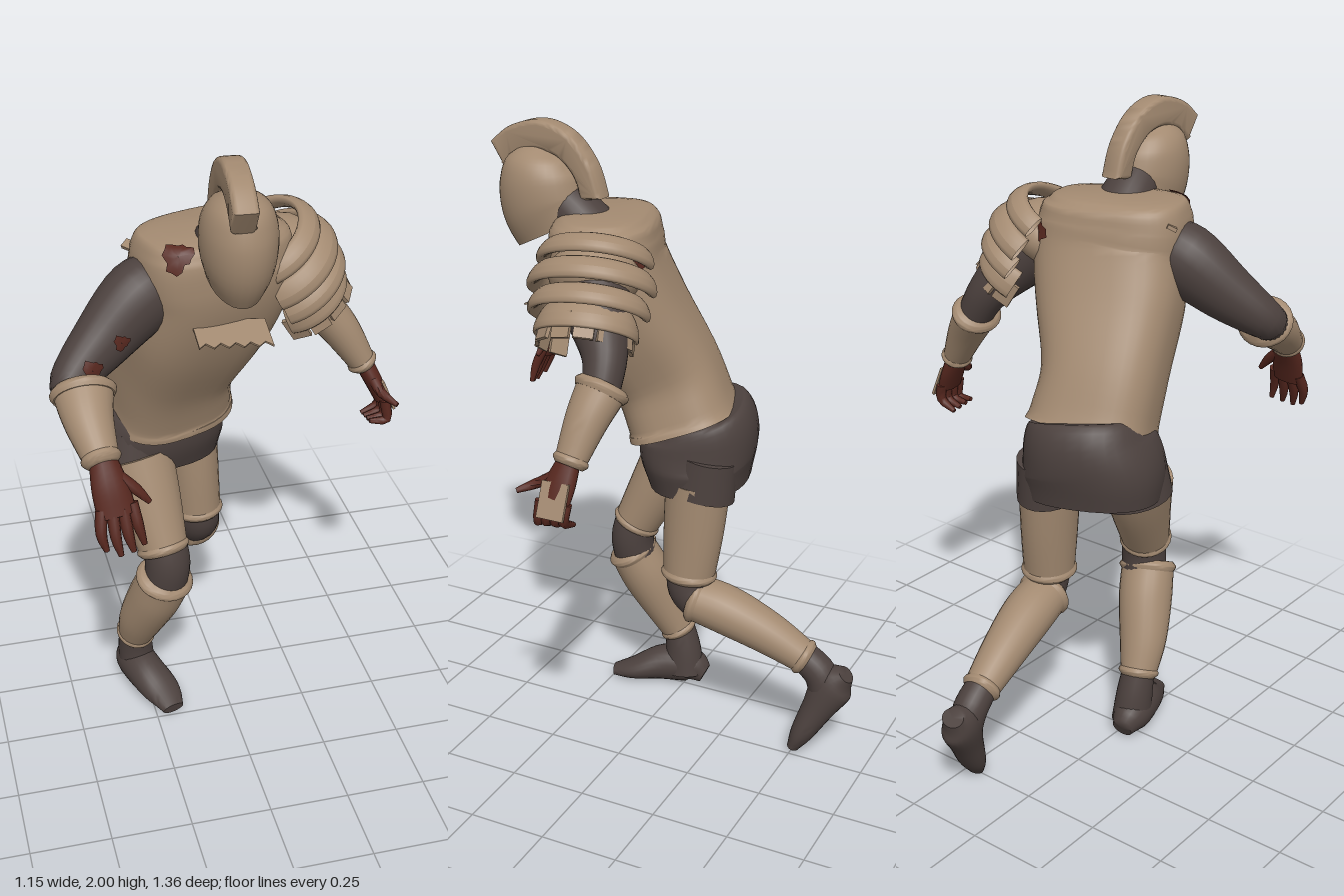
import * as THREE from 'three';
import { toCreasedNormals } from 'three/addons/utils/BufferGeometryUtils.js';

const V = (x, y, z) => new THREE.Vector3(x, y, z);

// Smooth elliptical loft through rows of [x, y, z, radiusU, radiusV]; ref gives the U direction.
function loft(rows, { ref = V(1, 0, 0), seg = 24, sub = 5, pow = 1 } = {}) {
  const path = new THREE.CatmullRomCurve3(rows.map(r => V(r[0], r[1], r[2])), false, 'catmullrom', 0.5);
  const radii = new THREE.CatmullRomCurve3(rows.map(r => V(r[3], r[4] ?? r[3], 0)), false, 'catmullrom', 0.5);
  const n = (rows.length - 1) * sub, pos = [], idx = [];
  const sq = a => Math.sign(a) * Math.abs(a) ** pow;
  for (let i = 0; i <= n; i++) {
    const c = path.getPoint(i / n), r = radii.getPoint(i / n), t = path.getTangent(i / n);
    const u = ref.clone().addScaledVector(t, -ref.dot(t)).normalize();
    const v = u.clone().cross(t);
    for (let j = 0; j < seg; j++) {
      const a = j / seg * Math.PI * 2;
      const p = c.clone().addScaledVector(u, r.x * sq(Math.cos(a))).addScaledVector(v, r.y * sq(Math.sin(a)));
      pos.push(p.x, p.y, p.z);
    }
  }
  for (let i = 0; i < n; i++) for (let j = 0; j < seg; j++) {
    const k = (j + 1) % seg, a = i * seg + j, b = i * seg + k;
    idx.push(a, a + seg, b, b, a + seg, b + seg);
  }
  // end caps
  const first = rows[0], last = rows[rows.length - 1], m = (n + 1) * seg;
  pos.push(first[0], first[1], first[2], last[0], last[1], last[2]);
  for (let j = 0; j < seg; j++) {
    const k = (j + 1) % seg;
    idx.push(m, j, k, m + 1, n * seg + k, n * seg + j);
  }
  const g = new THREE.BufferGeometry();
  g.setAttribute('position', new THREE.Float32BufferAttribute(pos, 3));
  g.setIndex(idx);
  return toCreasedNormals(g, 1);
}

export function createModel() {
  const model = new THREE.Group();
  const mat = (name, color, extra = {}) => Object.assign(new THREE.MeshStandardMaterial({ color, ...extra }), { name });
  const armor = mat('tan armor', 0xa38a71, { side: THREE.DoubleSide });
  const cloth = mat('dark cloth', 0x4c413e);
  const skin = mat('dark red skin', 0x58281f, { side: THREE.DoubleSide });
  const add = (name, geo, material, parent = model) => {
    const m = new THREE.Mesh(geo, material);
    m.name = name;
    parent.add(m);
    return m;
  };

  // Limb armour with a raised rim at the far end, and at the near end unless it is tucked in
  function guard(name, rows, { tucked = false, ...opt } = {}) {
    add(name, loft(rows, opt), armor);
    const ends = [[rows[rows.length - 1], rows[rows.length - 2]]];
    if (!tucked) ends.push([rows[0], rows[1]]);
    for (const [e, inner] of ends) {
      const c = V(e[0], e[1], e[2]), d = V(inner[0], inner[1], inner[2]).sub(c).normalize();
      const ring = (s, grow) => [...c.clone().addScaledVector(d, s).toArray(), e[3] + grow, (e[4] ?? e[3]) + grow];
      add(name + 'Rim', loft([ring(-0.008, -0.004), ring(0.008, 0.008), ring(0.026, 0)], opt), armor);
    }
  }

  // Torso and shorts, leaning forward and slightly turned
  const torso = add('cuirass', loft([
    [-0.14, 1.05, -0.05, 0.203, 0.18], [-0.14, 1.09, -0.035, 0.193, 0.172], [-0.135, 1.22, 0.02, 0.19, 0.17],
    [-0.085, 1.4, 0.11, 0.226, 0.174], [-0.045, 1.55, 0.165, 0.238, 0.172],
    [-0.048, 1.64, 0.182, 0.238, 0.168], [-0.05, 1.7, 0.184, 0.226, 0.158],
    [-0.05, 1.728, 0.184, 0.2, 0.13], [-0.05, 1.738, 0.184, 0.15, 0.09],
  ], { ref: V(1, 0, -0.28).normalize(), seg: 40, pow: 0.72 }), armor);
  add('shorts', loft([
    [-0.178, 0.865, -0.09, 0.215, 0.165], [-0.172, 0.96, -0.085, 0.222, 0.188],
    [-0.155, 1.05, -0.09, 0.194, 0.188], [-0.145, 1.1, -0.08, 0.17, 0.155],
  ], { ref: V(1, 0, -0.28).normalize(), seg: 32, pow: 0.84 }), cloth);
  add('rightShortsLeg', loft([[-0.25, 0.98, -0.02, 0.12, 0.12], [-0.265, 0.85, 0, 0.125, 0.125]]), cloth);
  add('leftShortsLeg', loft([[-0.06, 0.98, -0.165, 0.098, 0.1], [-0.05, 0.85, -0.145, 0.096, 0.115]]), cloth);

  // Head
  add('neck', loft([[-0.035, 1.66, 0.22, 0.1, 0.09], [-0.03, 1.72, 0.28, 0.085, 0.08], [-0.025, 1.77, 0.36, 0.07, 0.08]]), cloth);
  add('helmet', loft([
    [-0.025, 1.66, 0.352, 0.082, 0.138], [-0.025, 1.74, 0.391, 0.106, 0.142], [-0.025, 1.83, 0.402, 0.104, 0.13],
    [-0.025, 1.89, 0.4, 0.074, 0.092], [-0.025, 1.925, 0.395, 0.006, 0.006],
  ], { seg: 32 }), armor);
  const outer = [[0.575, 1.92], [0.5, 1.975], [0.39, 2], [0.285, 1.965], [0.21, 1.88], [0.175, 1.78]];
  const inner = [[0.245, 1.77], [0.27, 1.84], [0.33, 1.895], [0.41, 1.91], [0.48, 1.885], [0.525, 1.845]];
  const crest = new THREE.Shape();
  const vec2 = list => list.map(p => new THREE.Vector2(p[0] - 0.37, p[1]));
  crest.moveTo(outer[0][0] - 0.37, outer[0][1]);
  crest.splineThru(vec2(outer.slice(1)));
  crest.lineTo(inner[0][0] - 0.37, inner[0][1]);
  crest.splineThru(vec2(inner.slice(1)));
  const crestGeo = new THREE.ExtrudeGeometry(crest, { depth: 0.044, bevelSize: 0.014, bevelThickness: 0.014, bevelOffset: -0.014, bevelSegments: 3, curveSegments: 6 });
  crestGeo.translate(0, 0, -0.022).rotateY(-Math.PI / 2).rotateY(-0.06).translate(-0.036, 0, 0.37);
  add('crest', toCreasedNormals(crestGeo, 0.8), armor);

  // Right leg, planted
  guard('rightThighGuard', [[-0.255, 0.9, 0.035, 0.116, 0.1], [-0.23, 0.78, 0.085, 0.102, 0.095], [-0.2, 0.615, 0.165, 0.078, 0.075]], { tucked: true });
  add('rightKnee', loft([[-0.2, 0.66, 0.15, 0.07], [-0.19, 0.57, 0.17, 0.073], [-0.2, 0.47, 0.16, 0.07]]), cloth);
  guard('rightGreave', [[-0.2, 0.52, 0.18, 0.088, 0.078], [-0.225, 0.42, 0.135, 0.088, 0.086], [-0.258, 0.3, 0.08, 0.078, 0.074], [-0.277, 0.195, 0.03, 0.058, 0.058]]);
  add('rightAnkle', loft([[-0.277, 0.22, 0.035, 0.052], [-0.275, 0.13, 0.015, 0.058, 0.062], [-0.27, 0.04, 0.01, 0.062, 0.075]]), cloth);
  add('rightFoot', loft([
    [-0.285, 0.035, -0.065, 0.034, 0.034], [-0.28, 0.062, -0.01, 0.06, 0.062], [-0.255, 0.062, 0.08, 0.064, 0.062],
    [-0.215, 0.038, 0.17, 0.06, 0.038], [-0.195, 0.022, 0.245, 0.036, 0.018],
  ]), cloth);

  // Left leg, trailing
  guard('leftThighGuard', [[-0.045, 0.89, -0.14, 0.09, 0.108], [-0.035, 0.72, -0.13, 0.085, 0.1], [-0.025, 0.56, -0.12, 0.08, 0.085]], { tucked: true });
  add('leftKnee', loft([[-0.025, 0.6, -0.12, 0.07], [-0.018, 0.52, -0.125, 0.07], [-0.025, 0.46, -0.18, 0.068]]), cloth);
  guard('leftGreave', [[-0.025, 0.485, -0.14, 0.082, 0.075], [-0.04, 0.455, -0.25, 0.084, 0.08], [-0.06, 0.395, -0.39, 0.072, 0.07], [-0.076, 0.325, -0.52, 0.056, 0.053]]);
  add('leftAnkle', loft([[-0.075, 0.34, -0.5, 0.05], [-0.078, 0.28, -0.57, 0.054], [-0.073, 0.2, -0.59, 0.05]]), cloth);
  add('leftFoot', loft([
    [-0.085, 0.295, -0.655, 0.038, 0.03], [-0.08, 0.25, -0.615, 0.056, 0.07], [-0.06, 0.16, -0.572, 0.054, 0.053],
    [-0.04, 0.07, -0.53, 0.052, 0.038], [-0.028, 0.015, -0.505, 0.036, 0.02],
  ]), cloth);

  // Arms
  const Z = V(0, 0, 1);
  const rightSleeve = add('rightSleeve', loft([
    [-0.19, 1.585, 0.22, 0.085, 0.09], [-0.27, 1.555, 0.24, 0.1, 0.112], [-0.39, 1.46, 0.292, 0.08, 0.092],
    [-0.495, 1.375, 0.36, 0.06, 0.062], [-0.485, 1.34, 0.42, 0.05, 0.05],
  ], { ref: V(0.3, 0, 1).normalize() }), cloth);
  guard('rightBracer', [[-0.468, 1.36, 0.39, 0.088, 0.075], [-0.468, 1.31, 0.47, 0.072, 0.064], [-0.452, 1.235, 0.575, 0.05, 0.045]]);
  add('leftSleeve', loft([[0.14, 1.6, 0.12, 0.11], [0.24, 1.5, 0.06, 0.095], [0.315, 1.4, 0, 0.068], [0.375, 1.3, -0.015, 0.055]], { ref: Z }), cloth);
  guard('leftBracer', [[0.355, 1.325, -0.015, 0.08, 0.068], [0.42, 1.24, 0.005, 0.066, 0.06], [0.49, 1.125, 0.025, 0.048, 0.042]], { ref: Z });

  // Hands: palm plus tapered fingers given by base, knuckle and tip
  function hand(side, palm, ref, fingers) {
    const g = new THREE.Group();
    g.name = side + 'Hand';
    model.add(g);
    add('palm', loft(palm, { ref, seg: 14 }), skin, g);
    fingers.forEach(([a, b, c]) => add('finger', loft([[...a, 0.018], [...b, 0.016], [...c, 0.008]], { ref, seg: 8, sub: 3 }), skin, g));
  }
  hand('right', [[-0.45, 1.25, 0.555, 0.036, 0.03], [-0.438, 1.17, 0.6, 0.052, 0.027], [-0.425, 1.09, 0.632, 0.056, 0.022]], V(1, 0, 0), [
    [[-0.468, 1.11, 0.625], [-0.475, 1.05, 0.652], [-0.463, 1.0, 0.665]],
    [[-0.438, 1.11, 0.628], [-0.436, 1.04, 0.658], [-0.425, 0.985, 0.675]],
    [[-0.408, 1.11, 0.628], [-0.4, 1.04, 0.655], [-0.388, 0.99, 0.67]],
    [[-0.382, 1.12, 0.62], [-0.37, 1.06, 0.645], [-0.355, 1.0, 0.655]],
    [[-0.41, 1.19, 0.59], [-0.365, 1.15, 0.605], [-0.33, 1.11, 0.615]],
  ]);
  hand('left', [[0.485, 1.14, 0.025, 0.034, 0.03], [0.52, 1.07, 0.04, 0.05, 0.028], [0.547, 1.01, 0.05, 0.05, 0.024]], Z, [
    ...[0.008, 0.037, 0.066, 0.092].map((z, i) => [[0.545, 1.02, z], [0.552, 0.965 - i * 0.004, z + 0.005], [0.495, 0.935 + i * 0.006, z + 0.005]]),
    [[0.51, 1.09, 0.06], [0.525, 1.06, 0.115], [0.56, 1.04, 0.165]],
  ]);
  const plate = add('leftHandPlate', new THREE.BoxGeometry(0.009, 0.11, 0.088), armor);
  plate.position.set(0.56, 1.03, 0.044);
  plate.rotation.z = 0.4;

  // Layered shoulder armour: thick curved bands over a cap, then a skirt of small plates
  const pauldron = new THREE.Group();
  pauldron.name = 'leftPauldron';
  pauldron.position.set(0.145, 1.61, 0.12);
  pauldron.quaternion.setFromUnitVectors(V(0, 1, 0), V(-0.52, 0.83, 0.12).normalize());
  model.add(pauldron);
  const facing = Math.PI / 2 - 0.08;
  const band = (name, y, r, thick, half, arc) => {
    const profile = Array.from({ length: 13 }, (_, i) => {
      const a = i / 12 * Math.PI * 2;
      return new THREE.Vector2(r + Math.cos(a) * thick - Math.sin(a) * 0.014, y + Math.sin(a) * half);
    });
    const m = add(name, new THREE.LatheGeometry(profile, 28, facing - arc / 2, arc), armor, pauldron);
    m.scale.z = 1.1;
  };
  band('shoulderBand', 0.035, 0.144, 0.019, 0.034, 3.6);
  band('shoulderBand', -0.045, 0.16, 0.019, 0.038, 3.7);
  band('shoulderBand', -0.12, 0.15, 0.018, 0.036, 3.8);
  band('skirtBand', -0.175, 0.128, 0.013, 0.045, 4.2);
  const cap = add('shoulderCap', new THREE.SphereGeometry(0.132, 24, 14), armor, pauldron);
  cap.scale.set(1, 0.72, 1.08);
  cap.position.y = -0.025;
  for (let i = 0; i < 9; i++) {
    const a = facing + (i - 4) * 0.5;
    const p = add('skirtPlate', new THREE.BoxGeometry(0.06, 0.08, 0.012), armor, pauldron);
    p.position.set(Math.sin(a) * 0.133, -0.212, Math.cos(a) * 0.141);
    p.rotation.set(i % 2 ? -0.15 : 0, a, 0, 'YXZ');
  }

  // Torn metal flaps on the cuirass
  const flap = new THREE.Shape();
  flap.moveTo(-0.11, -0.06);
  flap.lineTo(0.11, -0.06);
  for (let i = 0; i <= 10; i++) flap.lineTo(0.11 - i * 0.022, i % 2 ? 0.032 : 0.05);
  const chestFlap = add('chestFlap', new THREE.ExtrudeGeometry(flap, { depth: 0.006, bevelEnabled: false }), armor);
  chestFlap.position.set(-0.03, 1.468, 0.368);
  chestFlap.rotation.set(Math.PI / 2 + 0.32, -0.1, 0);
  const backFlap = add('shoulderFlap', new THREE.BoxGeometry(0.03, 0.012, 0.09), armor);
  backFlap.position.set(-0.262, 1.672, 0.17);
  backFlap.rotation.set(0.1, 0.7, 0.4);

  // Stains: ragged thin patches laid on a surface along a direction
  const ray = new THREE.Raycaster();
  function stain(name, target, at, dir, r) {
    target.updateMatrixWorld();
    const d = dir.clone().normalize(), q = new THREE.Quaternion().setFromUnitVectors(Z, d.clone().negate());
    const g = new THREE.RingGeometry(0.001, r, 18, 3), p = g.attributes.position;
    let last = at;
    for (let i = 0; i < p.count; i++) {
      const v = V().fromBufferAttribute(p, i), a = Math.atan2(v.y, v.x);
      v.multiplyScalar(0.85 + 0.15 * Math.sin(a * 3 + 1) + 0.1 * Math.sin(a * 7)).applyQuaternion(q).add(at);
      ray.set(v.addScaledVector(d, -0.6), d);
      const hit = ray.intersectObject(target)[0];
      if (hit) last = hit.point.addScaledVector(hit.face.normal, 0.005);
      p.setXYZ(i, last.x, last.y, last.z);
    }
    g.computeVertexNormals();
    add(name, g, skin);
  }
  stain('shoulderStain', torso, V(-0.18, 1.68, 0.31), V(0, -0.7, -0.7), 0.046);
  stain('armholeStain', torso, V(-0.245, 1.49, 0.25), V(0.3, 0, -1), 0.026);
  stain('backStain', torso, V(0.1, 1.62, 0.03), V(-0.1, -0.25, 1), 0.036);
  stain('sleeveStain', rightSleeve, V(-0.35, 1.48, 0.3), V(0, 0, -1), 0.026);
  stain('sleeveStain', rightSleeve, V(-0.44, 1.42, 0.33), V(0, 0, -1), 0.032);
  return model;
}
